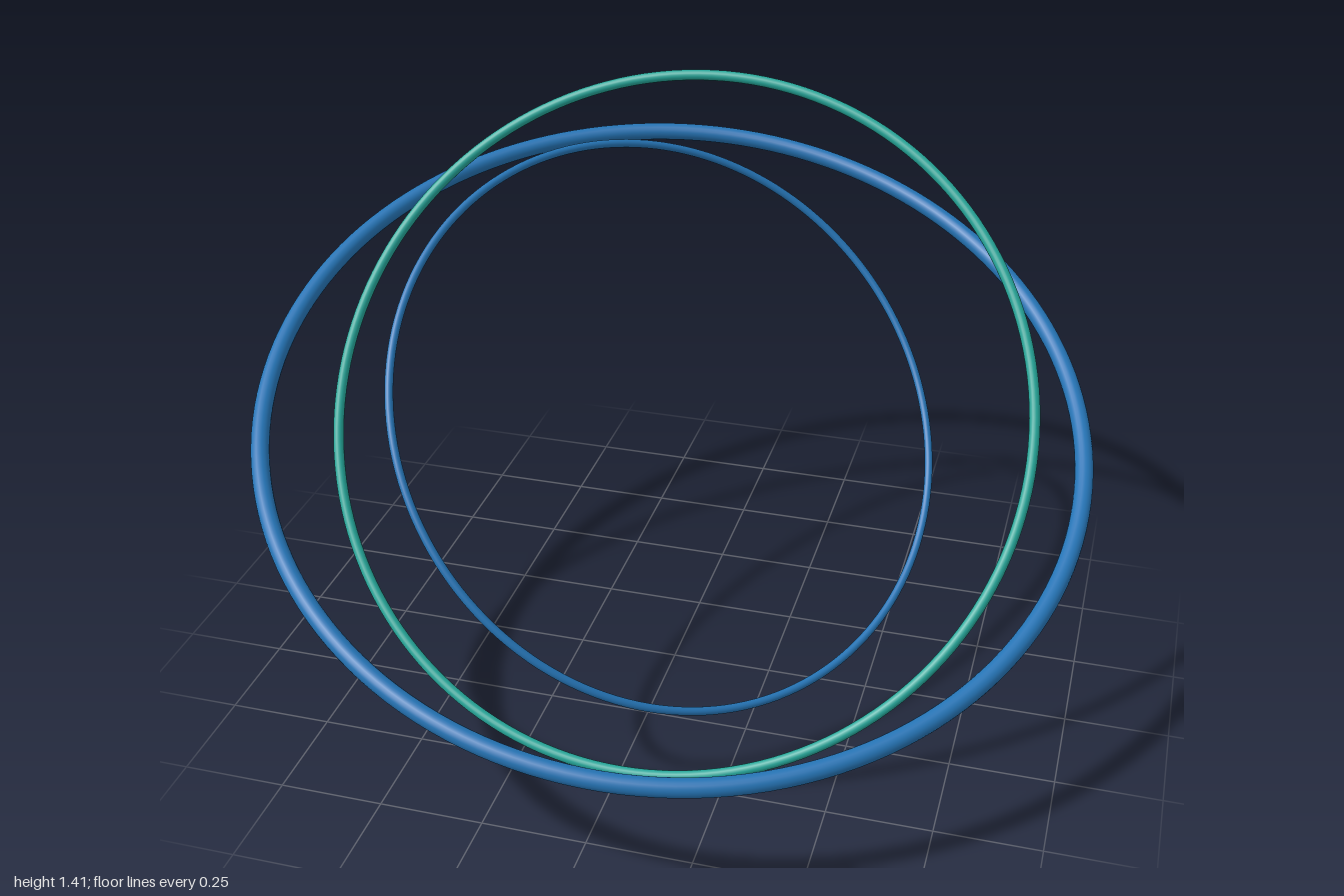
import * as THREE from 'three';

export function createModel() {
  const blue = new THREE.MeshStandardMaterial({ color: 0x2574b5 });
  blue.name = 'blue';
  const teal = new THREE.MeshStandardMaterial({ color: 0x25a699 });
  teal.name = 'teal';

  const model = new THREE.Group();
  model.name = 'interlockedRings';

  // Each ring is a smooth torus whose axis points along the given direction
  const addRing = (name, radius, tube, axis, material) => {
    const ring = new THREE.Mesh(new THREE.TorusGeometry(radius, tube, 20, 160), material);
    ring.name = name;
    ring.position.y = 0.705;
    ring.quaternion.setFromUnitVectors(
      new THREE.Vector3(0, 0, 1),
      new THREE.Vector3(...axis).normalize()
    );
    model.add(ring);
  };

  addRing('thickOuterRing', 0.988, 0.022, [0.145, 0.915, 0.374], blue);
  addRing('middleRing', 0.855, 0.013, [0.033, 0.588, 0.808], teal);
  addRing('thinInnerRing', 0.711, 0.01, [0.563, 0.656, 0.503], blue);

  return model;
}
